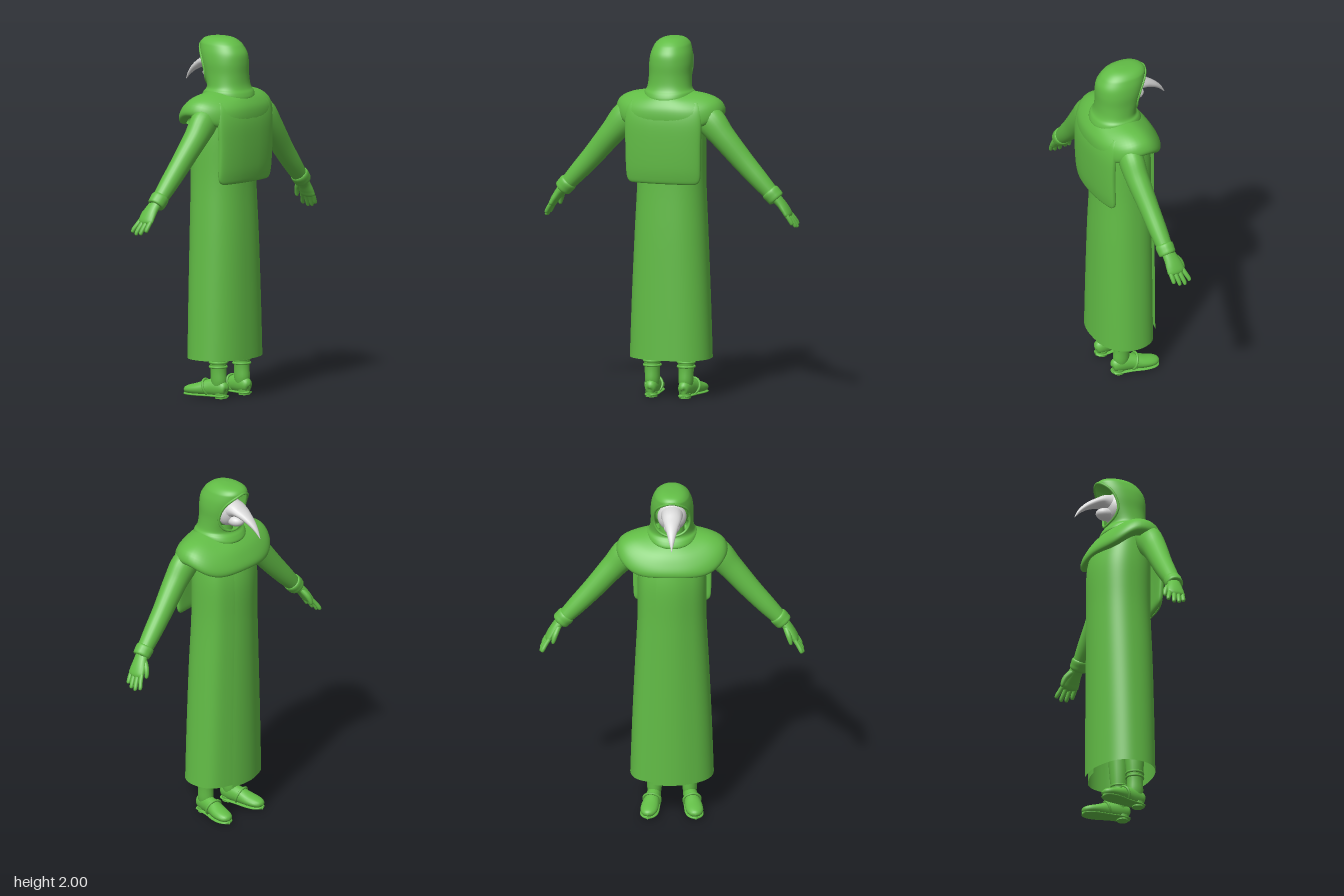
import * as THREE from 'three';
import { mergeVertices } from 'three/addons/utils/BufferGeometryUtils.js';

const cloth = new THREE.MeshStandardMaterial({ color: 0x62bd46, side: THREE.DoubleSide });
cloth.name = 'green cloth';
const bone = new THREE.MeshStandardMaterial({ color: 0xd8d8d8, side: THREE.DoubleSide });
bone.name = 'pale mask';

// Smooth interpolation of every column of a small table, t in 0..1
function spline(rows, t) {
  const n = rows.length - 1, f = Math.min(t, 1) * n, i = Math.min(Math.floor(f), n - 1), k = f - i;
  const at = (j) => rows[Math.max(0, Math.min(n, j))];
  return rows[0].map((_, c) => {
    const [a, b, d, e] = [at(i - 1)[c], at(i)[c], at(i + 1)[c], at(i + 2)[c]];
    const m0 = (d - a) / 2, m1 = (e - b) / 2, k2 = k * k, k3 = k2 * k;
    return (2 * k3 - 3 * k2 + 1) * b + (k3 - 2 * k2 + k) * m0 + (3 * k2 - 2 * k3) * d + (k3 - k2) * m1;
  });
}

// Smooth surface over a grid; fn(u, v) gives [x, y, z]
function loft(nu, nv, fn) {
  const pos = [], idx = [];
  for (let j = 0; j <= nv; j++) for (let i = 0; i <= nu; i++) pos.push(...fn(i / nu, j / nv));
  for (let j = 0; j < nv; j++) for (let i = 0; i < nu; i++) {
    const a = j * (nu + 1) + i, b = a + nu + 1;
    idx.push(a, b, a + 1, a + 1, b, b + 1);
  }
  let g = new THREE.BufferGeometry();
  g.setAttribute('position', new THREE.Float32BufferAttribute(pos, 3));
  g.setIndex(idx);
  g = mergeVertices(g, 1e-4);
  g.computeVertexNormals();
  return g;
}

// Tapering tube; rows are [x, y, z, radius across ref, radius along ref]
function limb(rows, ref, nu = 18, nv = 28) {
  const p = (t) => new THREE.Vector3(...spline(rows, t).slice(0, 3));
  return loft(nu, nv, (u, v) => {
    const r = spline(rows, v), a = u * Math.PI * 2;
    const T = p(Math.min(1, v + 0.01)).sub(p(Math.max(0, v - 0.01))).normalize();
    const S = T.clone().cross(ref).normalize(), N = S.clone().cross(T);
    const q = new THREE.Vector3(r[0], r[1], r[2])
      .addScaledVector(S, Math.cos(a) * Math.max(0, r[3])).addScaledVector(N, Math.sin(a) * Math.max(0, r[4]));
    return [q.x, q.y, q.z];
  });
}

const Y = new THREE.Vector3(0, 1, 0), Z = new THREE.Vector3(0, 0, 1);
const pow = (c, e) => Math.sign(c) * Math.abs(c) ** e;
// Point at angle a (0 = face side) on a squarish oval
const oval = (a, w, zf, zb, e = 1) =>
  [w * pow(Math.sin(a), e), (zf + zb) / 2 - (zb - zf) / 2 * pow(Math.cos(a), e)];

export function createModel() {
  const model = new THREE.Group();
  const add = (name, geo, mat = cloth, parent = model) => {
    const m = new THREE.Mesh(geo, mat);
    m.name = name;
    parent.add(m);
    return m;
  };
  const { lerp, smoothstep } = THREE.MathUtils;

  // Long robe wrapped over itself at the opening: [y, halfWidth, zFace, zBack]
  const robe = [[0.22, 0.23, -0.13, 0.21], [0.55, 0.219, -0.13, 0.206], [0.9, 0.204, -0.13, 0.2],
    [1.2, 0.19, -0.13, 0.19], [1.45, 0.188, -0.128, 0.19], [1.62, 0.17, -0.09, 0.19]];
  add('robe', loft(96, 30, (u, v) => {
    const [y, w, zf, zb] = spline(robe, v);
    const [x, z] = oval(lerp(0.08, Math.PI * 2 + 0.42, u), w, zf, zb, 0.88);
    const lap = 0.013 * (smoothstep(u, 0.85, 0.95) - 1 + smoothstep(u, 0.05, 0.15));
    return [x, y, z - lap];
  }));

  // Shoulder mantle: [halfWidth, zFace, zBack, ySide, yFace, yBack]
  const mantle = [[0.25, -0.12, 0.2, 1.575, 1.525, 1.53], [0.295, -0.145, 0.232, 1.585, 1.52, 1.53],
    [0.306, -0.149, 0.24, 1.615, 1.545, 1.57], [0.282, -0.132, 0.235, 1.66, 1.585, 1.62],
    [0.22, -0.1, 0.215, 1.692, 1.635, 1.66], [0.13, -0.05, 0.19, 1.71, 1.68, 1.69], [0.08, 0, 0.15, 1.72, 1.71, 1.72]];
  add('mantle', loft(64, 24, (u, v) => {
    const [w, zf, zb, ys, yf, yb] = spline(mantle, v), a = u * Math.PI * 2, c = Math.cos(a);
    const [x, z] = oval(a, w, zf, zb, 0.9);
    const dip = 0.03 * (1 - v) * Math.sin(2 * a) ** 2;
    return [x, ys * (1 - c * c) + (c > 0 ? yf : yb) * c * c - dip, z];
  }));

  // Thick flap hanging down the back: [y, halfWidth, halfThickness, zCentre]
  const flap = [[1.205, 0.17, 0.001, 0.208], [1.21, 0.192, 0.013, 0.208], [1.235, 0.21, 0.021, 0.208],
    [1.3, 0.215, 0.025, 0.213], [1.42, 0.217, 0.027, 0.217], [1.54, 0.22, 0.028, 0.215],
    [1.62, 0.215, 0.026, 0.2], [1.66, 0.19, 0.01, 0.185]];
  add('backFlap', loft(56, 30, (u, v) => {
    const [y, w, t, zc] = spline(flap, v);
    const [x, z] = oval(u * Math.PI * 2, w, zc - t, zc + t, 0.6);
    return [x, y, z - 0.6 * x * x];
  }));

  // Hood with a face opening: [y, halfWidth, zFace, zBack, opening angle]
  const hood = [[1.66, 0.12, -0.065, 0.195, 0], [1.675, 0.138, -0.075, 0.208, 0], [1.7, 0.137, -0.062, 0.2, 0],
    [1.72, 0.126, -0.045, 0.186, 0], [1.75, 0.12, -0.05, 0.178, 0.6], [1.8, 0.117, -0.07, 0.175, 0.95],
    [1.86, 0.118, -0.09, 0.176, 0.95], [1.91, 0.112, -0.105, 0.17, 0.8], [1.948, 0.1, -0.11, 0.148, 0.45],
    [1.967, 0.09, -0.108, 0.13, 0], [1.985, 0.07, -0.09, 0.103, 0], [1.996, 0.042, -0.05, 0.07, 0], [2, 0, 0.02, 0.02, 0]];
  const hoodPoint = (u, v) => {
    const [y, w, zf, zb, o] = spline(hood, v), open = Math.max(0, o), a = lerp(open, Math.PI * 2 - open, u);
    const [x, z] = oval(a, w, zf, zb, 0.92);
    const low = Math.max(0, 1 - v * 3.5);
    return [x, y + low * (0.025 * Math.sin(a) ** 2 - 0.008), z];
  };
  add('hood', loft(56, 60, hoodPoint));
  const rim = [];
  for (let k = 0; k < 20; k++) {
    const s = k < 10 ? k : 19 - k;
    rim.push(new THREE.Vector3(...hoodPoint(k < 10 ? 0 : 1, lerp(0.275, 0.735, s / 9))));
  }
  add('hoodRim', new THREE.TubeGeometry(new THREE.CatmullRomCurve3(rim, true), 80, 0.007, 8, true));

  // Head, neck and beaked mask
  const ball = (name, mat, x, y, z, a, b, c) => {
    const g = new THREE.SphereGeometry(1, 28, 20).scale(a, b, c);
    return add(name, g.translate(x, y, z), mat);
  };
  ball('head', cloth, 0, 1.84, 0.05, 0.095, 0.115, 0.095);
  add('neck', new THREE.CylinderGeometry(0.065, 0.075, 0.14, 20).translate(0, 1.71, 0.06));
  ball('maskFace', bone, 0, 1.832, -0.005, 0.08, 0.085, 0.055);
  ball('maskJaw', bone, 0, 1.79, -0.055, 0.045, 0.034, 0.055);
  add('beak', limb([[0, 1.85, -0.01, 0.065, 0.062], [0, 1.858, -0.06, 0.058, 0.044], [0, 1.85, -0.1, 0.05, 0.029],
    [0, 1.832, -0.14, 0.037, 0.023], [0, 1.807, -0.18, 0.025, 0.017], [0, 1.775, -0.215, 0.013, 0.01],
    [0, 1.735, -0.243, 0.001, 0.001]], Y), bone);

  for (const s of [1, -1]) {
    const side = s > 0 ? 'left' : 'right';
    const mir = (rows) => rows.map(([x, y, z, a, b = a]) => [s * x, y, z, a, b]);

    // Sleeve with turned cuff
    add(side + 'Sleeve', limb(mir([[0.16, 1.61, 0.1, 0.05], [0.24, 1.555, 0.1, 0.083, 0.068], [0.32, 1.465, 0.1, 0.07, 0.064],
      [0.43, 1.335, 0.088, 0.06, 0.055], [0.52, 1.235, 0.08, 0.052, 0.05], [0.58, 1.17, 0.075, 0.044]]), Z, 22, 34));
    add(side + 'Cuff', limb(mir([[0.572, 1.18, 0.075, 0.03], [0.58, 1.171, 0.075, 0.049], [0.6, 1.15, 0.074, 0.05],
      [0.618, 1.13, 0.072, 0.044], [0.62, 1.128, 0.072, 0.01]]), Z));

    // Hand with four fingers and a thumb
    const hand = new THREE.Group();
    hand.name = side + 'Hand';
    model.add(hand);
    add('palm', limb(mir([[0.6, 1.15, 0.073, 0.03, 0.035], [0.637, 1.11, 0.062, 0.025, 0.042], [0.665, 1.07, 0.055, 0.022, 0.05],
      [0.682, 1.04, 0.052, 0.017, 0.047], [0.69, 1.025, 0.052, 0.001]]), Z), cloth, hand);
    [0.9, 1.05, 1, 0.8].forEach((l, i) => {
      const z = 0.052 + (i - 1.5) * 0.025, d = (i - 1.5) * 0.003 - 0.008;
      add('finger', limb(mir([[0.672, 1.055, z, 0.012], [0.672 + 0.025 * l, 1.055 - 0.035 * l, z + d, 0.0125],
        [0.672 + 0.042 * l, 1.055 - 0.065 * l, z + 2 * d, 0.0115], [0.672 + 0.047 * l, 1.055 - 0.078 * l, z + 2 * d, 0.008],
        [0.672 + 0.048 * l, 1.055 - 0.081 * l, z + 2 * d, 0.001]]), Z, 10, 12), cloth, hand);
    });
    add('thumb', limb(mir([[0.625, 1.115, 0.04, 0.016], [0.64, 1.085, 0.012, 0.016], [0.65, 1.055, -0.001, 0.013],
      [0.655, 1.035, -0.004, 0.009], [0.656, 1.03, -0.004, 0.001]]), Z, 10, 12), cloth, hand);

    // Leg and boot
    add(side + 'Leg', limb(mir([[0.085, 0.85, 0.05, 0.075], [0.095, 0.5, 0.065, 0.06], [0.098, 0.28, 0.075, 0.053],
      [0.098, 0.16, 0.078, 0.042, 0.045], [0.097, 0.09, 0.08, 0.04, 0.046], [0.097, 0.04, 0.08, 0.03]]), Z));
    for (const y of [0.175, 0.2]) {
      const band = add(side + 'BootBand', new THREE.TorusGeometry(0.046, 0.007, 8, 28).rotateX(Math.PI / 2));
      band.position.set(s * 0.098, y, 0.077);
    }
    const foot = [[0.095, 0.05, 0.136, 0.002], [0.095, 0.052, 0.128, 0.028, 0.034], [0.098, 0.058, 0.08, 0.038, 0.05],
      [0.107, 0.055, 0.02, 0.041, 0.047], [0.12, 0.044, -0.045, 0.049, 0.035], [0.128, 0.038, -0.095, 0.045, 0.027],
      [0.132, 0.034, -0.125, 0.027, 0.018], [0.133, 0.032, -0.135, 0.002]];
    add(side + 'Boot', limb(mir(foot), Y));
    add(side + 'Sole', limb(mir(foot.map(([x, , z, a]) => [x, 0.014, z, a + 0.002, 0.008])), Y));
    add(side + 'Heel', new THREE.CylinderGeometry(0.034, 0.032, 0.03, 20).translate(s * 0.097, 0.015, 0.096));
    const strap = add(side + 'Strap', new THREE.TorusGeometry(0.047, 0.007, 8, 28));
    strap.position.set(s * 0.11, 0.056, 0.008);
    strap.rotation.set(-0.35, s * -0.15, 0);
  }
  return model;
}
